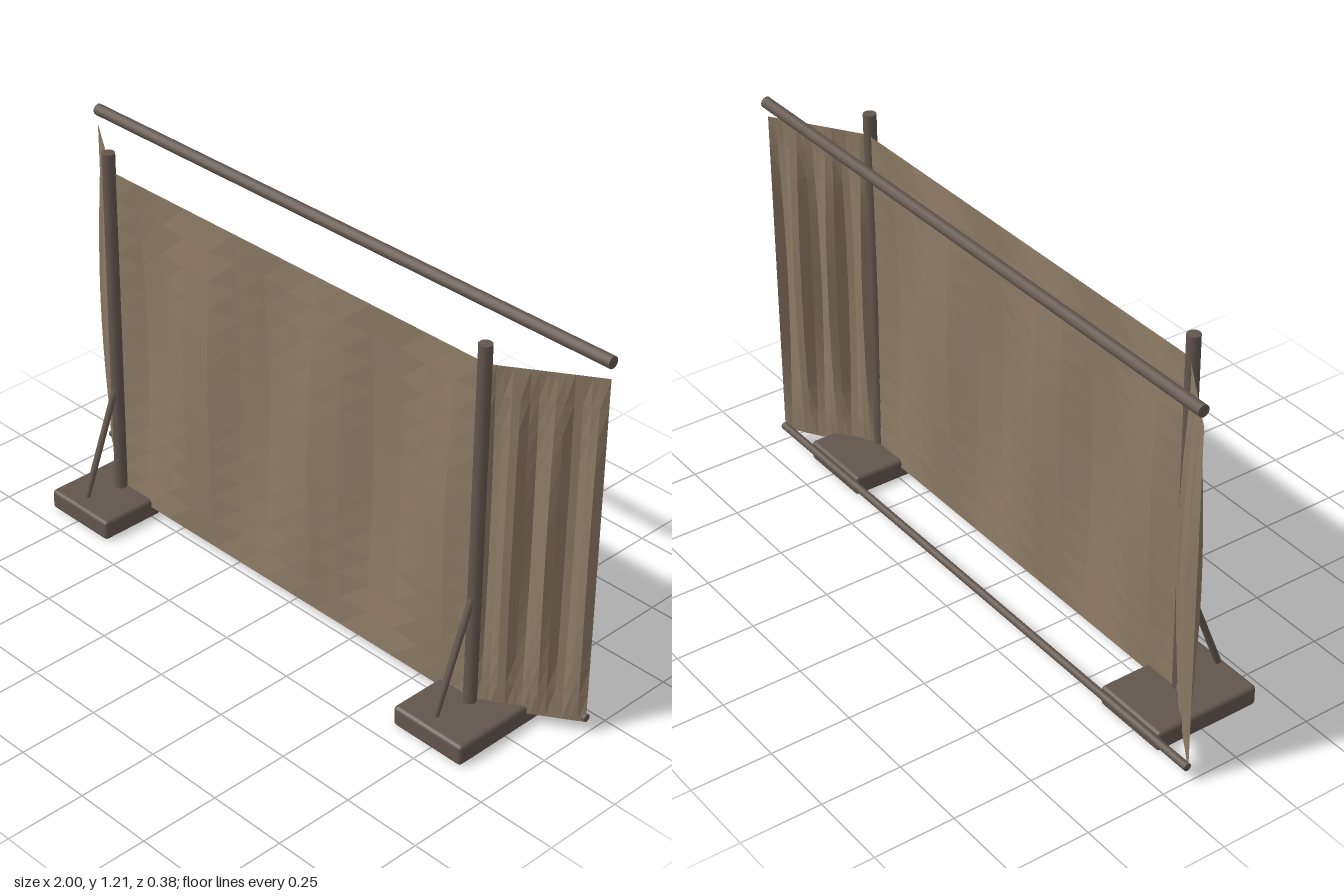
import * as THREE from 'three';
import { RoundedBoxGeometry } from 'three/addons/geometries/RoundedBoxGeometry.js';

const wood = new THREE.MeshStandardMaterial({ color: 0x62564e });
const cloth = new THREE.MeshStandardMaterial({ color: 0x8c7a64, flatShading: true, side: THREE.DoubleSide });

const BOTTOM = 0.04, TOP = 1.14; // cloth height range
const POST_X = 0.735, REAR_Z = -0.17;

// round bar between two points
function bar(name, a, b, radius) {
  const from = new THREE.Vector3(...a), to = new THREE.Vector3(...b);
  const dir = to.clone().sub(from);
  const mesh = new THREE.Mesh(new THREE.CylinderGeometry(radius, radius, dir.length(), 12), wood);
  mesh.name = name;
  mesh.position.copy(from).add(to).multiplyScalar(0.5);
  mesh.quaternion.setFromUnitVectors(new THREE.Vector3(0, 1, 0), dir.normalize());
  return mesh;
}

// cloth panel from (x0, z0) to (x1, z1), with three folds that fade out at the hems
function panel(name, x0, z0, x1, z1) {
  const geo = new THREE.PlaneGeometry(1, 1, 14, 12);
  const pos = geo.attributes.position;
  const length = Math.hypot(x1 - x0, z1 - z0);
  const nx = -(z1 - z0) / length, nz = (x1 - x0) / length;
  for (let i = 0; i < pos.count; i++) {
    const u = pos.getX(i) + 0.5, v = pos.getY(i) + 0.5;
    const fold = -0.028 * Math.sin(u * Math.PI * 6) * Math.sin(v * Math.PI);
    pos.setXYZ(i,
      x0 + (x1 - x0) * u + nx * fold,
      BOTTOM + (TOP - BOTTOM) * v,
      z0 + (z1 - z0) * u + nz * fold);
  }
  geo.computeVertexNormals();
  const mesh = new THREE.Mesh(geo, cloth);
  mesh.name = name;
  return mesh;
}

export function createModel() {
  const model = new THREE.Group();
  model.name = 'clothScreen';

  // cloth: wide centre panel and two wings angled to the rear
  model.add(
    panel('centerPanel', -POST_X, 0.005, POST_X, 0.005),
    panel('rightWing', -1, -0.167, -POST_X, 0.005),
    panel('leftWing', POST_X, 0.005, 1, -0.167),
  );

  // rear rails
  model.add(
    bar('topRail', [-1, 1.187, REAR_Z], [1, 1.187, REAR_Z], 0.018),
    bar('bottomRail', [-1, 0.052, REAR_Z], [1, 0.052, REAR_Z], 0.012),
  );

  // posts with feet and front braces
  for (const side of [-1, 1]) {
    const x = side * POST_X;
    const stand = new THREE.Group();
    stand.name = side > 0 ? 'leftStand' : 'rightStand';
    const foot = new THREE.Mesh(new RoundedBoxGeometry(0.255, 0.065, 0.346, 2, 0.012), wood);
    foot.name = 'foot';
    foot.position.set(x, 0.0325, 0.014);
    stand.add(
      foot,
      bar('post', [x, 0.05, 0.015], [x, 1.205, 0.015], 0.02),
      bar('brace', [x, 0.085, 0.152], [x, 0.43, 0.02], 0.01),
    );
    model.add(stand);
  }
  return model;
}
